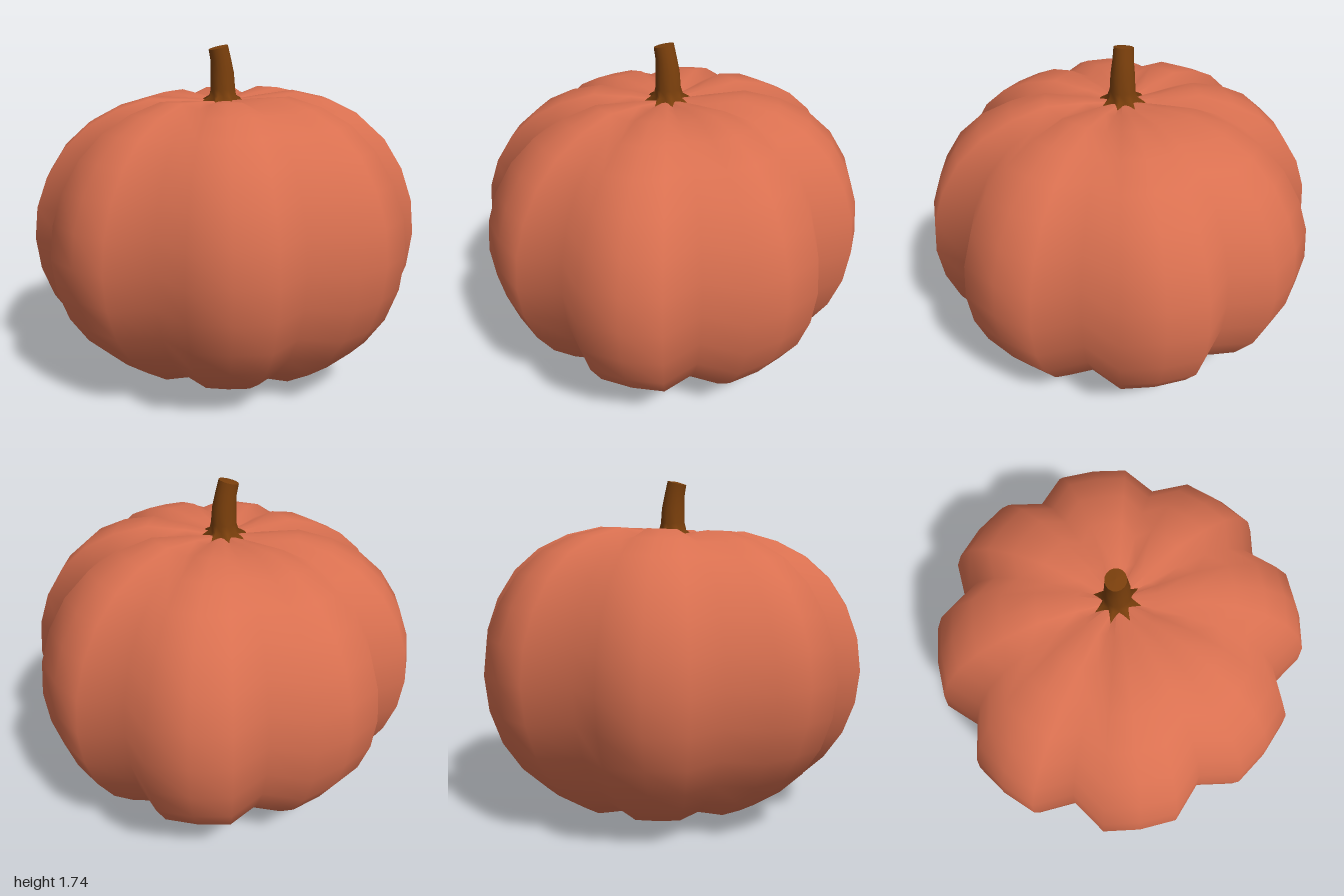
import * as THREE from 'three';

// Closed-around surface through horizontal rings listed from bottom to top.
function loft(rings, sides, point) {
  const positions = [], index = [];
  rings.forEach((ring, j) => {
    for (let i = 0; i < sides; i++) {
      positions.push(...point(ring, i, (i / sides) * Math.PI * 2));
      if (j === 0) continue;
      const k = (i + 1) % sides;
      const a = (j - 1) * sides + i, b = (j - 1) * sides + k;
      const c = j * sides + i, d = j * sides + k;
      index.push(a, d, b, a, c, d);
    }
  });
  const geometry = new THREE.BufferGeometry();
  geometry.setAttribute('position', new THREE.Float32BufferAttribute(positions, 3));
  geometry.setIndex(index);
  geometry.computeVertexNormals();
  return geometry;
}

function createBody() {
  // Heights above and below the equator, one per 11.25 degrees of latitude
  const lobeY = [-0.745, -0.76, -0.755, -0.715, -0.61, -0.487, -0.342, -0.174, 0,
    0.172, 0.333, 0.48, 0.593, 0.67, 0.715, 0.7, 0.68];
  // How far the grooves sink vertically near the two poles
  const sink = [0, 0.015, 0.02, 0.01, 0, 0, 0, 0, 0, 0, 0, 0, -0.005, -0.015, -0.035, -0.02, 0];
  const rings = lobeY.map((y, j) => ({ y, sink: sink[j], r: Math.cos((j / 16 - 0.5) * Math.PI) }));
  // Eight lobes of four segments, each divided by a sharp groove
  const geometry = loft(rings, 32, (ring, i, angle) => {
    const groove = i % 4 === 0;
    const r = ring.r * (groove ? 0.882 : 1.007);
    const x = Math.cos(angle) * r;
    const taper = 1 + 0.055 * x; // slightly fuller on the +x side
    const y = ring.y + (groove ? ring.sink : 0);
    return [x, 0.775 + y * taper, Math.sin(angle) * r * taper];
  });
  return new THREE.Mesh(geometry, new THREE.MeshStandardMaterial({ color: 0xd97050 }));
}

function createStem() {
  // x offset, height, radius, extra radius of the root points, slope of the cut
  const rings = [
    [0, 1.44, 0.085, 0.045, 0],
    [0, 1.465, 0.075, 0.035, 0],
    [0, 1.485, 0.068, 0.008, 0],
    [0, 1.52, 0.065, 0, 0],
    [-0.003, 1.6, 0.061, 0, 0.05],
    [-0.012, 1.67, 0.053, 0, 0.15],
    [-0.026, 1.732, 0.05, 0, 0.25],
    [-0.026, 1.732, 0.05, 0, 0.25],
    [-0.026, 1.738, 0, 0, 0],
  ];
  const geometry = loft(rings, 16, ([cx, y, radius, spike, slope], i, angle) => {
    const r = radius + (i % 2 === 0 ? spike : -spike * 0.3);
    const x = Math.cos(angle) * r;
    return [cx + x, y + x * slope, Math.sin(angle) * r];
  });
  return new THREE.Mesh(geometry,
    new THREE.MeshStandardMaterial({ color: 0x7a3f0c, side: THREE.DoubleSide }));
}

export function createModel() {
  const model = new THREE.Group();
  model.name = 'pumpkin';
  const body = createBody();
  body.name = 'ribbedBody';
  const stem = createStem();
  stem.name = 'stem';
  model.add(body, stem);
  return model;
}
